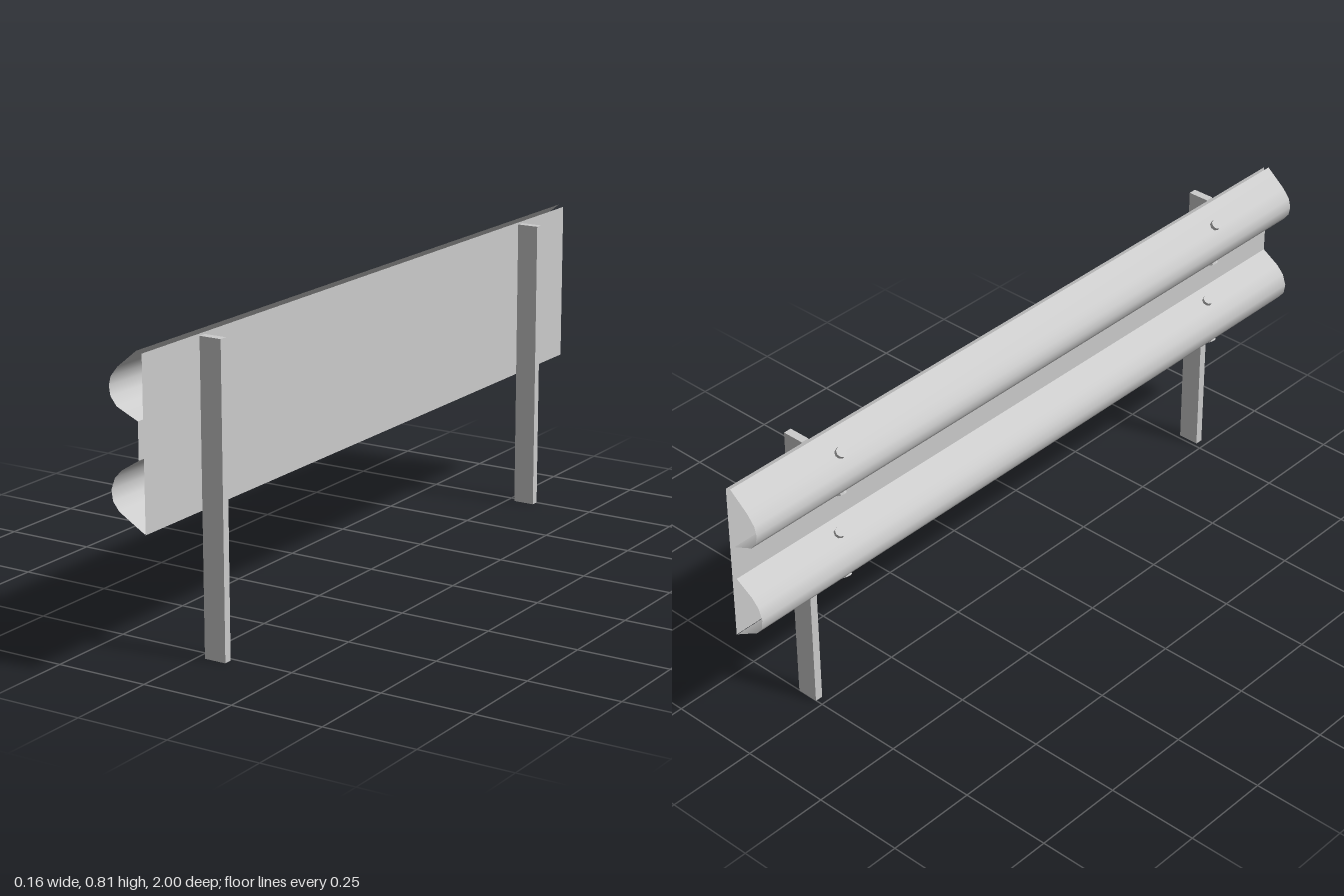
import * as THREE from 'three';
import { toCreasedNormals } from 'three/addons/utils/BufferGeometryUtils.js';

const LENGTH = 2;

export function createModel() {
  const group = new THREE.Group();
  const steel = new THREE.MeshStandardMaterial({ color: 0xcccccc });
  const sheet = new THREE.MeshStandardMaterial({ color: 0xcccccc, side: THREE.DoubleSide });

  const add = (name, geometry, material, x = 0, y = 0, z = 0) => {
    const mesh = new THREE.Mesh(geometry, material);
    mesh.name = name;
    mesh.position.set(x, y, z);
    group.add(mesh);
    return mesh;
  };

  // Sweep an open [x, y] profile along z into a thin sheet facing -x
  const sweep = (profile) => {
    const g = new THREE.PlaneGeometry(1, 1, 1, profile.length - 1);
    const p = g.attributes.position;
    for (let i = 0; i < p.count; i++) {
      const [x, y] = profile[Math.floor(i / 2)];
      p.setXYZ(i, x, y, (i % 2 - 0.5) * LENGTH);
    }
    return toCreasedNormals(g, 0.55);
  };

  // Corrugated rail: two humps with a flat valley between
  add('corrugatedRail', sweep([
    [0.0, 0.808], [-0.055, 0.763], [-0.075, 0.738], [-0.081, 0.715], [-0.077, 0.69],
    [-0.06, 0.668], [0.0, 0.641],
    [0.0, 0.547], [-0.05, 0.516], [-0.07, 0.495], [-0.081, 0.465], [-0.077, 0.437],
    [-0.06, 0.415], [0.012, 0.372],
  ]), sheet);

  // Flat backing sheet
  add('backPlate', sweep([[0.015, 0.803], [0.015, 0.37]]), sheet);

  // Posts
  for (const z of [-0.74, 0.772]) {
    add('post', new THREE.BoxGeometry(0.06, 0.8, 0.022), steel, 0.051, 0.4, z);
  }

  // Bolt heads on the hump slopes: x, y and the direction they point
  const bolts = [
    [-0.051, 0.775, -0.63, 0.78],
    [-0.045, 0.657, -0.4, -0.92],
    [-0.035, 0.53, -0.52, 0.85],
    [-0.051, 0.412, -0.5, -0.87],
  ];
  const boltGeometry = toCreasedNormals(new THREE.CylinderGeometry(0.014, 0.014, 0.01, 8), 0.5);
  for (const z of [-0.695, 0.71]) {
    for (const [x, y, nx, ny] of bolts) {
      add('bolt', boltGeometry, steel, x, y, z).rotation.z = Math.atan2(-nx, ny);
    }
  }
  return group;
}
